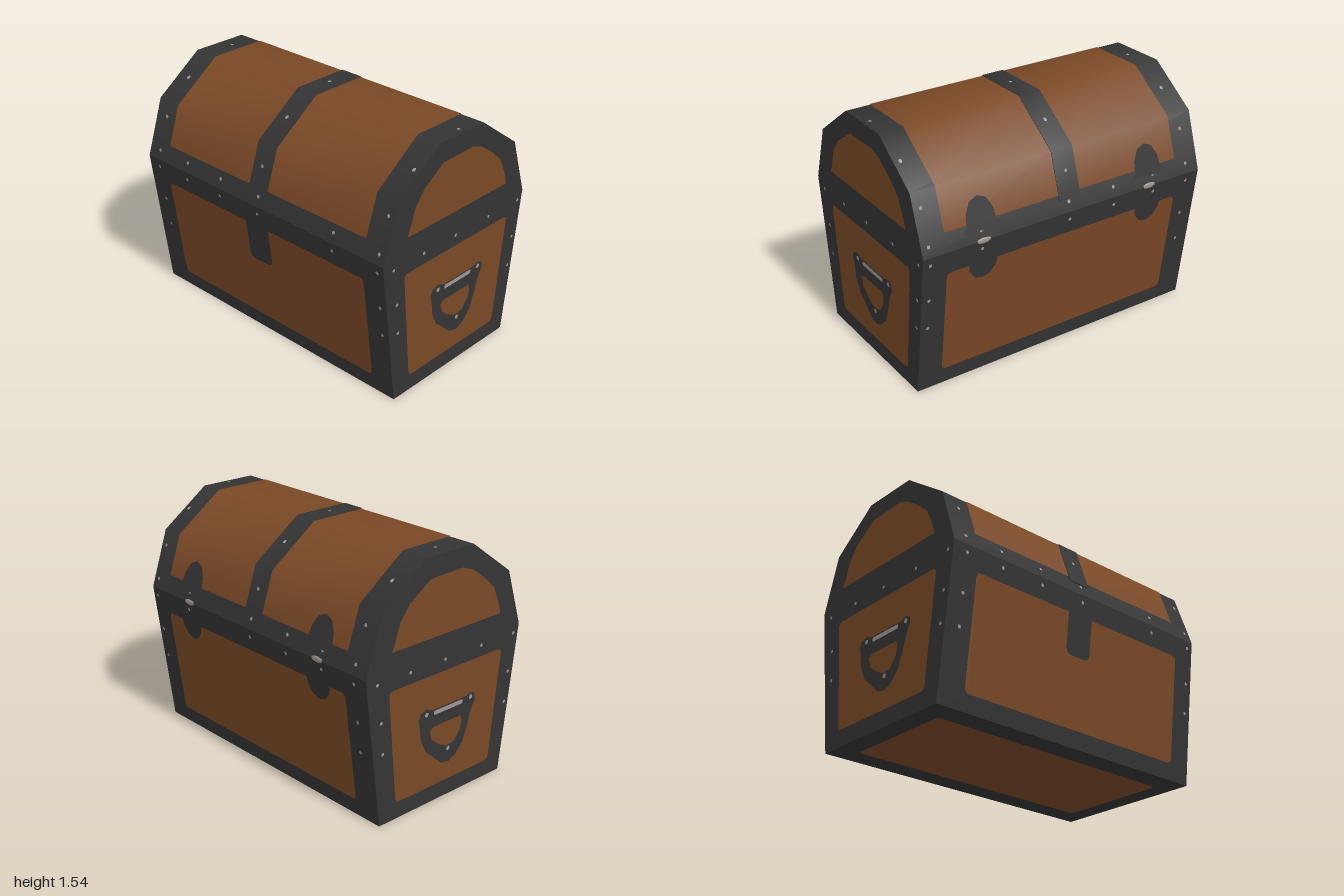
import * as THREE from 'three';

const wood = new THREE.MeshStandardMaterial({ color: 0x7a4926 });
const iron = new THREE.MeshStandardMaterial({ color: 0x343434 });
const rivetMetal = new THREE.MeshStandardMaterial({ color: 0x9e9894 });
wood.name = 'wood';
iron.name = 'dark iron';
rivetMetal.name = 'rivet metal';

const V = (x, y, z) => new THREE.Vector3(x, y, z);
const END = 0.996;

// A face frame: local x and y lie in the face, local z points outward.
function frame(X, Y, origin) {
  return new THREE.Matrix4().makeBasis(X, Y, X.clone().cross(Y).normalize()).setPosition(origin);
}
const S = 0.12 / 0.94, L = 0.12 / 0.36, R = 0.23 / 0.32;
const faces = {
  front: frame(V(1, 0, 0), V(0, 1, S), V(0, 0, 0.51)),
  back: frame(V(-1, 0, 0), V(0, 1, -S), V(0, 0, -0.51)),
  lidFront: frame(V(1, 0, 0), V(0, 1, -L), V(0, 0, 0.63 + 0.94 * L)),
  lidBack: frame(V(-1, 0, 0), V(0, 1, L), V(0, 0, -0.63 - 0.94 * L)),
  slopeFront: frame(V(1, 0, 0), V(0, R, -1), V(0, 1.53 + 0.19 * R, 0)),
  slopeBack: frame(V(-1, 0, 0), V(0, R, 1), V(0, 1.53 + 0.19 * R, 0)),
  top: frame(V(1, 0, 0), V(0, 0, -1), V(0, 1.53, 0)),
  bottom: frame(V(1, 0, 0), V(0, 0, 1), V(0, 0, 0)),
  rightEnd: frame(V(0, 0, -1), V(0, 1, 0), V(END, 0, 0)),
  leftEnd: frame(V(0, 0, 1), V(0, 1, 0), V(-END, 0, 0)),
};

const polygon = (pts) => new THREE.Shape(pts.map((p) => new THREE.Vector2(...p)));

// Polygon with rounded corners
function rounded(pts, r = 0.035) {
  const s = new THREE.Shape();
  const v = pts.map((p) => new THREE.Vector2(...p));
  v.forEach((p, i) => {
    const a = v[(i + v.length - 1) % v.length], b = v[(i + 1) % v.length];
    const p0 = p.clone().add(a.clone().sub(p).setLength(r));
    const p1 = p.clone().add(b.clone().sub(p).setLength(r));
    if (i) s.lineTo(p0.x, p0.y); else s.moveTo(p0.x, p0.y);
    s.quadraticCurveTo(p.x, p.y, p1.x, p1.y);
  });
  s.closePath();
  return s;
}
const rect = (x0, y0, x1, y1, r) => rounded([[x0, y0], [x1, y0], [x1, y1], [x0, y1]], r);

// Lid outline as [z, y], front to back, pushed outward by d
function lidPath(startY, d = 0) {
  const z = 0.63 - (startY - 0.94) * L;
  const half = [[z + d, startY], [0.51 + d * 0.9, 1.30 + d * 0.6], [0.19 + d * 0.3, 1.53 + d]];
  return [...half, ...half.slice().reverse().map(([a, b]) => [-a, b])];
}

// Smooth band that follows a lid path between two x positions
function band(x0, x1, path) {
  const pos = [], idx = [];
  path.forEach(([z, y], i) => {
    pos.push(x0, y, z, x1, y, z);
    const a = i * 2;
    if (i) idx.push(a - 2, a - 1, a + 1, a - 2, a + 1, a);
  });
  const g = new THREE.BufferGeometry();
  g.setAttribute('position', new THREE.Float32BufferAttribute(pos, 3));
  g.setIndex(idx);
  g.computeVertexNormals();
  return g;
}

export function createModel() {
  const model = new THREE.Group();
  model.name = 'chest';
  const add = (name, geo, mat) => {
    const m = new THREE.Mesh(geo, mat);
    m.name = name;
    model.add(m);
  };
  // Flat geometry laid on a face, and a thin plate cut from a shape
  const lay = (name, geo, face, lift, mat) =>
    add(name, geo.translate(0, 0, lift).applyMatrix4(faces[face]), mat);
  const plate = (name, shape, face, lift, mat) =>
    lay(name, new THREE.ShapeGeometry(shape, 8), face, lift, mat);
  const rivets = (face, list, lift = 0.003, r = 0.011) => list.forEach(([x, y]) =>
    lay('rivet', new THREE.CircleGeometry(r, 8).translate(x, y, 0), face, lift, rivetMetal));

  // Tapered body
  const body = new THREE.BoxGeometry(END * 2, 0.94, 1.02).translate(0, 0.47, 0);
  const p = body.attributes.position;
  for (let i = 0; i < p.count; i++) if (p.getY(i) > 0.5) p.setZ(i, Math.sign(p.getZ(i)) * 0.63);
  body.computeVertexNormals();
  add('body', body, iron);

  // Lid shell and its ends
  add('lid', band(-END, END, lidPath(0.94)), iron);
  for (const end of ['rightEnd', 'leftEnd'])
    plate('lidEnd', polygon(lidPath(0.94)), end, 0, iron);

  // Lid boards on both sides of the strap
  add('lidBoards', band(-0.82, -0.07, lidPath(1.05, 0.004)), wood);
  add('lidBoards', band(0.05, 0.84, lidPath(1.05, 0.004)), wood);

  // Raised strap over the lid
  const ring = [...lidPath(1.02, 0.007), ...lidPath(1.02, -0.01).reverse()];
  const strap = new THREE.ExtrudeGeometry(polygon(ring), { depth: 0.15, bevelEnabled: false });
  add('lidStrap', strap.rotateY(Math.PI / 2).translate(-0.085, 0, 0), iron);
  add('lidStrapTop', band(-0.085, 0.065, lidPath(1.02, 0.009)), iron);

  // Body panels
  plate('frontPanel', rect(-0.82, 0.105, 0.84, 0.8), 'front', 0.003, wood);
  plate('backPanel', rect(-0.84, 0.105, 0.82, 0.8), 'back', 0.003, wood);
  plate('bottomPanel', rect(-0.865, -0.365, 0.865, 0.365), 'bottom', 0.001, wood);

  // Latch tongue
  plate('latch', rect(-0.11, 0.54, 0.08, 0.86, 0.05), 'front', 0.006, iron);

  // Hinges: a leaf above and below the seam, and a pin on it
  for (const x of [-0.6, 0.6]) {
    const leaf = (y0, y1) => polygon([[-0.13, 0], [-0.1, 0.2], [-0.09, 0.55], [-0.055, 0.88], [0, 1],
      [0.055, 0.88], [0.09, 0.55], [0.1, 0.2], [0.13, 0]]
      .map(([a, t]) => [x + a, y0 + (y1 - y0) * t]));
    plate('hingeLeaf', leaf(1.0, 1.19), 'lidBack', 0.008, iron);
    plate('hingeLeaf', leaf(0.85, 0.69), 'back', 0.006, iron);
    const pin = new THREE.SphereGeometry(1, 12, 8).scale(0.05, 0.018, 0.006);
    add('hingePin', pin.translate(x, 0.94, -0.627), rivetMetal);
  }

  // End panels with a drop handle
  for (const end of ['rightEnd', 'leftEnd']) {
    plate('endPanel', rounded([[-0.385, 0.105], [0.405, 0.105], [0.48, 0.82], [-0.455, 0.82]]),
      end, 0.002, wood);
    plate('lidEndPanel', polygon([[-0.44, 1.05], [0.45, 1.05], [0.43, 1.12], [0.38, 1.23], [0.29, 1.31],
      [0.19, 1.38], [0.11, 1.41], [-0.15, 1.405], [-0.31, 1.3], [-0.38, 1.21], [-0.42, 1.09]]),
    end, 0.002, wood);
    const handle = polygon([[-0.215, 0.57], [-0.2, 0.605], [-0.15, 0.62], [-0.1, 0.6], [0.17, 0.6],
      [0.22, 0.615], [0.255, 0.6], [0.26, 0.56], [0.225, 0.49], [0.2, 0.4], [0.165, 0.31], [0.11, 0.25],
      [0.05, 0.22], [-0.02, 0.235], [-0.08, 0.29], [-0.15, 0.35], [-0.19, 0.43], [-0.2, 0.5]]);
    handle.holes.push(polygon([[-0.12, 0.47], [-0.09, 0.49], [0.14, 0.49], [0.15, 0.46], [0.14, 0.4],
      [0.09, 0.34], [0.02, 0.33], [-0.05, 0.37], [-0.1, 0.41]]));
    plate('handle', handle, end, 0.003, iron);
    plate('handleBar', rect(-0.09, 0.565, 0.15, 0.592, 0.01), end, 0.004, rivetMetal);
    rivets(end, [[-0.15, 0.585], [0.22, 0.585], [0.04, 0.31]], 0.004, 0.015);
    rivets(end, [[-0.545, 0.89], [-0.29, 0.89], [-0.01, 0.89], [0.295, 0.89], [0.58, 0.89],
      [-0.51, 0.65], [0.55, 0.65], [-0.495, 0.455], [0.53, 0.455]]);
  }

  // Rivets along the iron bands
  for (const [side, lid, slope, s] of [['front', 'lidFront', 'slopeFront', 1],
    ['back', 'lidBack', 'slopeBack', -1]]) {
    const at = (list) => list.map(([x, y]) => [x * s, y]);
    rivets(side, at([[-0.9, 0.89], [-0.635, 0.89], [-0.33, 0.89], [0, 0.89], [0.61, 0.89], [0.95, 0.89],
      [-0.9, 0.65], [0.95, 0.65], [-0.9, 0.455], [0.95, 0.455]]));
    rivets(lid, at([[-0.9, 1.0], [-0.635, 1.0], [-0.33, 1.0], [0, 1.0], [0.61, 1.0], [0.95, 1.0],
      [-0.9, 1.21], [0.95, 1.21]]));
    rivets(lid, at([[-0.01, 1.175]]), 0.012);
    rivets(slope, at([[-0.9, -0.35], [0.955, -0.35]]));
    rivets(slope, at([[-0.01, -0.35]]), 0.012);
  }
  rivets('top', [[-0.9, 0.02], [0.955, 0.02]]);
  rivets('top', [[-0.01, 0]], 0.012);
  return model;
}
